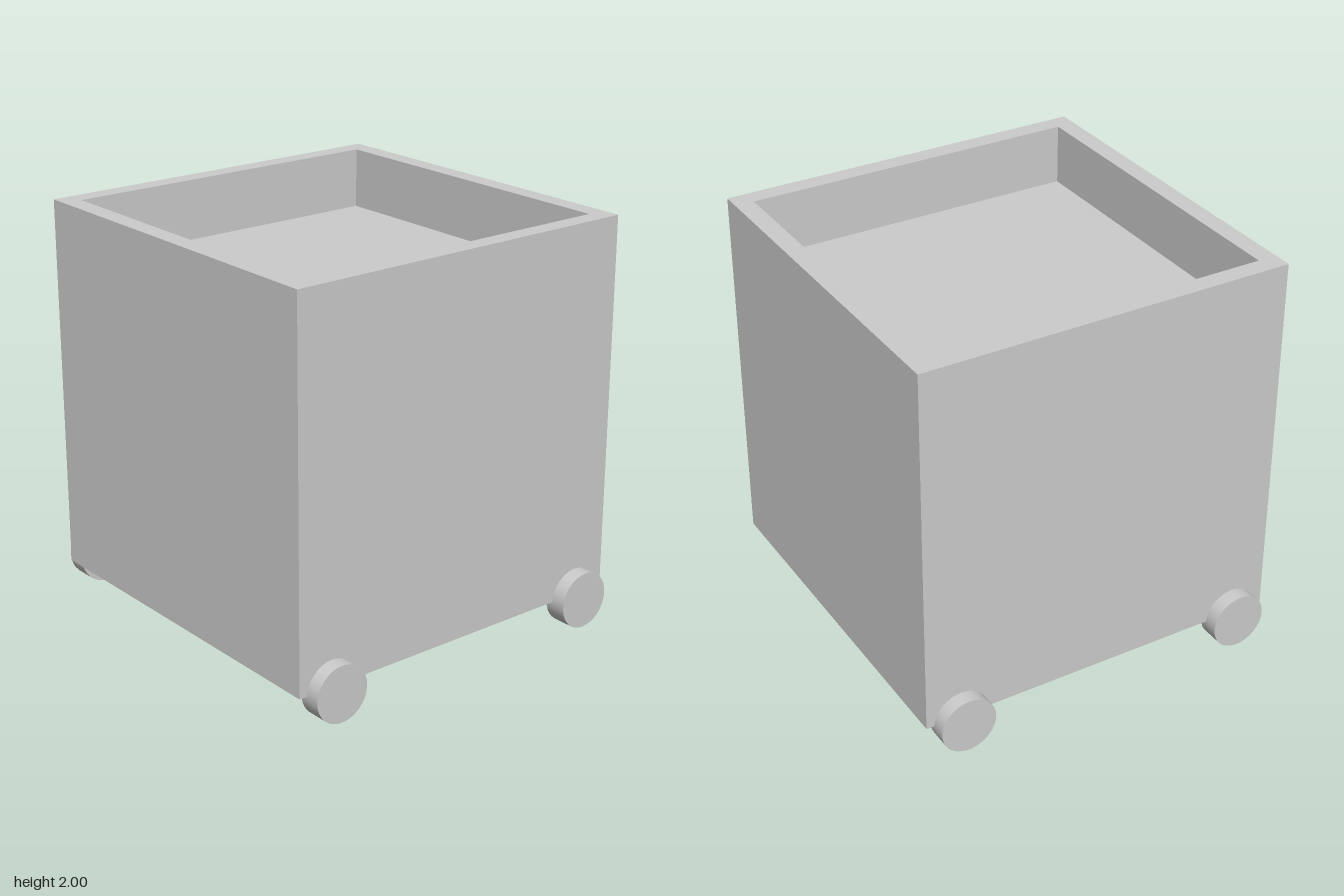
import * as THREE from 'three';

const material = new THREE.MeshStandardMaterial({ color: 0xcccccc });
const SIZE = 1.855, BOTTOM = 0.145, WALL = 0.093; // outer cube and wall thickness
const FLOOR_Y = 1.7;                              // top of the inner fill
const WHEEL_R = 0.14, WHEEL_W = 0.112;

function square(PathType, half) {
  return new PathType([[-1, -1], [1, -1], [1, 1], [-1, 1]]
    .map(([x, y]) => new THREE.Vector2(x * half, y * half)));
}

function addMesh(parent, name, geometry, x, y, z) {
  const mesh = new THREE.Mesh(geometry, material);
  mesh.name = name;
  mesh.position.set(x, y, z);
  parent.add(mesh);
  return mesh;
}

export function createModel() {
  const model = new THREE.Group();
  model.name = 'wheeledPlanter';
  const inner = SIZE - 2 * WALL;

  // Four walls with an open middle, extruded upwards
  const outline = square(THREE.Shape, SIZE / 2);
  outline.holes.push(square(THREE.Path, inner / 2));
  const walls = new THREE.ExtrudeGeometry(outline, { depth: SIZE, bevelEnabled: false });
  walls.rotateX(-Math.PI / 2);
  addMesh(model, 'walls', walls, 0, BOTTOM, 0);

  // Fill block: its top is the recessed floor, its base closes the underside
  const fillHeight = FLOOR_Y - BOTTOM;
  addMesh(model, 'fill', new THREE.BoxGeometry(inner, fillHeight, inner),
    0, BOTTOM + fillHeight / 2, 0);

  // Wheels at the four lower corners, partly sunk into the sides
  const wheel = new THREE.CylinderGeometry(WHEEL_R, WHEEL_R, WHEEL_W, 32);
  wheel.rotateZ(Math.PI / 2);
  for (const [side, sx] of [['Left', 1], ['Right', -1]]) {
    for (const [end, sz] of [['front', 1], ['back', -1]]) {
      addMesh(model, `${end}${side}Wheel`, wheel, sx * (1 - WHEEL_W / 2), WHEEL_R, sz * 0.747);
    }
  }
  return model;
}
